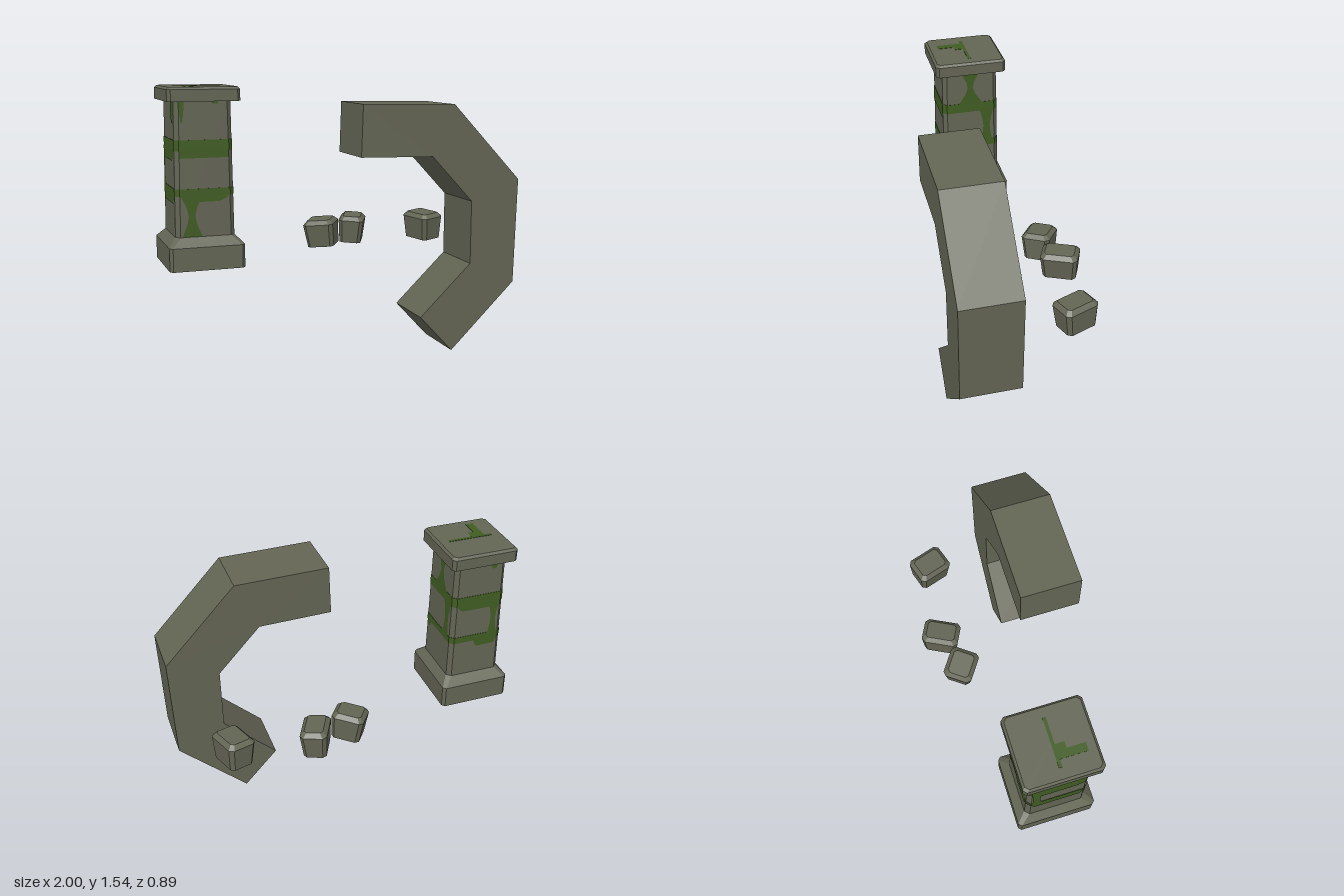
import * as THREE from 'three';

const stone = new THREE.MeshStandardMaterial({ color: 0x636554 });
stone.name = 'stone';
const moss = new THREE.MeshStandardMaterial({ color: 0x405c22 });
moss.name = 'moss';

// Stack of corner-cut rectangles, each ring [halfX, halfZ, cornerCut, y], closed at both ends
function loft(rings) {
  const loops = rings.map(([x, z, c, y]) => [
    [x, y, z - c], [x, y, c - z], [x - c, y, -z], [c - x, y, -z],
    [-x, y, c - z], [-x, y, z - c], [c - x, y, z], [x - c, y, z],
  ]);
  const pos = [];
  const tri = (a, b, c) => pos.push(...a, ...b, ...c);
  for (let r = 0; r < loops.length - 1; r++) {
    const lo = loops[r], hi = loops[r + 1];
    for (let i = 0; i < 8; i++) {
      const j = (i + 1) % 8;
      tri(lo[i], lo[j], hi[j]);
      tri(lo[i], hi[j], hi[i]);
    }
  }
  const bottom = loops[0], top = loops[loops.length - 1];
  for (let i = 1; i < 7; i++) {
    tri(top[0], top[i], top[i + 1]);
    tri(bottom[0], bottom[i + 1], bottom[i]);
  }
  const g = new THREE.BufferGeometry();
  g.setAttribute('position', new THREE.Float32BufferAttribute(pos, 3));
  g.computeVertexNormals();
  return g;
}

function add(parent, name, geometry, material) {
  const m = new THREE.Mesh(geometry, material);
  m.name = name;
  parent.add(m);
  return m;
}

// Half width of the tapering shaft at height y
const shaftX = (y) => 0.165 - 0.008 * (y - 0.72) / 0.74;
const shaftZ = (y) => 0.176 - 0.009 * (y - 0.72) / 0.74;
const shaftRing = (y, grow = 0) => [shaftX(y) + grow, shaftZ(y) + grow, 0.024, y];

// Moss drips on each shaft face: [across, top, bottom, half width at top, middle, bottom]
const mossFaces = [
  { name: 'frontMoss', angle: 0, half: shaftZ, drips: [
    [0, 1.2, 1.152, 0.136, 0.135, 0.136],
    [0.02, 0.95, 0.912, 0.115, 0.1, 0.06],
    [-0.075, 0.95, 0.722, 0.06, 0.018, 0.055],
    [-0.12, 1.46, 1.34, 0.016, 0.012, 0.004],
    [0.065, 1.46, 1.443, 0.02, 0.018, 0.014],
  ] },
  { name: 'leftMoss', angle: Math.PI / 2, half: shaftX, drips: [
    [0, 1.46, 1.24, 0.06, 0.016, 0.08],
    [0.1, 1.2, 0.97, 0.045, 0.02, 0.04],
    [-0.12, 0.96, 0.91, 0.028, 0.02, 0.01],
  ] },
  { name: 'backMoss', angle: Math.PI, half: shaftZ, drips: [
    [0, 1.2, 1.16, 0.136, 0.125, 0.1],
    [0.1, 1.2, 0.95, 0.036, 0.015, 0.036],
    [0.06, 0.96, 0.905, 0.076, 0.07, 0.06],
    [0.08, 1.46, 1.41, 0.025, 0.02, 0.012],
  ] },
  { name: 'rightMoss', angle: -Math.PI / 2, half: shaftX, drips: [
    [0, 1.2, 1.135, 0.148, 0.14, 0.1],
    [-0.12, 1.2, 0.95, 0.028, 0.02, 0.028],
    [0, 0.96, 0.9, 0.148, 0.14, 0.125],
    [0.11, 1.46, 1.34, 0.038, 0.03, 0.015],
  ] },
];

// Outline of one drip, mirrored about its centre line
function dripShape([u, top, bottom, ...widths]) {
  const edge = new THREE.SplineCurve(widths.map(
    (w, i) => new THREE.Vector2(w, top + (bottom - top) * i / 2),
  )).getPoints(6);
  const left = edge.map((p) => new THREE.Vector2(u - p.x, p.y));
  const right = edge.map((p) => new THREE.Vector2(u + p.x, p.y)).reverse();
  return new THREE.Shape([...left, ...right]);
}

function makePillar() {
  const pillar = new THREE.Group();
  pillar.name = 'pillar';
  pillar.position.set(-0.79, 0, 0.01);
  add(pillar, 'pillarBase', loft([
    [0.21, 0.227, 0.017, 0.54], [0.21, 0.227, 0.017, 0.67], [0.165, 0.176, 0.024, 0.72],
  ]), stone);
  add(pillar, 'pillarShaft', loft([shaftRing(0.72), shaftRing(1.46)]), stone);
  add(pillar, 'pillarCap', loft([
    [0.2, 0.213, 0.018, 1.458], [0.2, 0.213, 0.018, 1.522], [0.188, 0.2, 0.018, 1.535],
  ]), stone);

  // Bands of moss around the shaft
  for (const [low, high] of [[1.19, 1.25], [0.945, 0.985]]) {
    add(pillar, 'mossBand', loft([shaftRing(low, 0.002), shaftRing(high, 0.002)]), moss);
  }
  // Drips lying on the sloping faces
  for (const { name, angle, half, drips } of mossFaces) {
    const g = new THREE.ShapeGeometry(drips.map(dripShape));
    const p = g.attributes.position;
    for (let i = 0; i < p.count; i++) p.setZ(i, half(p.getY(i)) + 0.003);
    add(pillar, name, g, moss).rotation.y = angle;
  }
  // Thin moss on top of the cap
  for (const [x0, x1, z0, z1] of [
    [-0.13, 0.135, -0.012, 0.006], [-0.09, -0.01, 0.006, 0.055], [-0.09, -0.045, 0.055, 0.155],
  ]) {
    const plate = add(pillar, 'capMoss', new THREE.BoxGeometry(x1 - x0, 0.003, z1 - z0), moss);
    plate.position.set((x0 + x1) / 2, 1.5355, (z0 + z1) / 2);
  }
  return pillar;
}

// Broken ring of square-cut blocks
function makeArch() {
  const outline = [
    [0.03, 1.44], [0.02, 1.15], [0.45, 1.14], [0.7, 0.875], [0.7, 0.51],
    [0.39, 0.215], [0.59, 0], [0.985, 0.38], [1, 0.99], [0.58, 1.43],
  ].map(([x, y]) => new THREE.Vector2(x, y));
  const arch = new THREE.Group();
  arch.name = 'arch';
  const g = new THREE.ExtrudeGeometry(new THREE.Shape(outline), { depth: 0.345, bevelEnabled: false });
  add(arch, 'brokenArch', g, stone).position.z = 0.105;
  return arch;
}

// Loose stones with worn edges: centre, size, rotation
function makeRocks() {
  const group = new THREE.Group();
  group.name = 'looseRocks';
  const rocks = [
    { at: [0.037, 0.617, -0.257], size: [0.19, 0.165, 0.175], turn: [0.08, -0.61, 0.1] },
    { at: [0.26, 0.62, -0.318], size: [0.155, 0.165, 0.22], turn: [0.03, -0.46, -0.06] },
    { at: [0.728, 0.62, -0.26], size: [0.17, 0.165, 0.215], turn: [0.04, 0.33, 0.06] },
  ];
  for (const { at, size: [w, h, d], turn } of rocks) {
    const x = w / 2, y = h / 2, z = d / 2;
    const rock = add(group, 'looseRock', loft([
      [x - 0.012, z - 0.012, 0.02, -y],
      [x, z, 0.022, y - 0.025],
      [x - 0.024, z - 0.024, 0.015, y],
    ]), stone);
    rock.position.set(...at);
    rock.rotation.set(...turn, 'YXZ');
  }
  return group;
}

export function createModel() {
  const model = new THREE.Group();
  model.name = 'ruins';
  model.add(makePillar(), makeArch(), makeRocks());
  return model;
}
